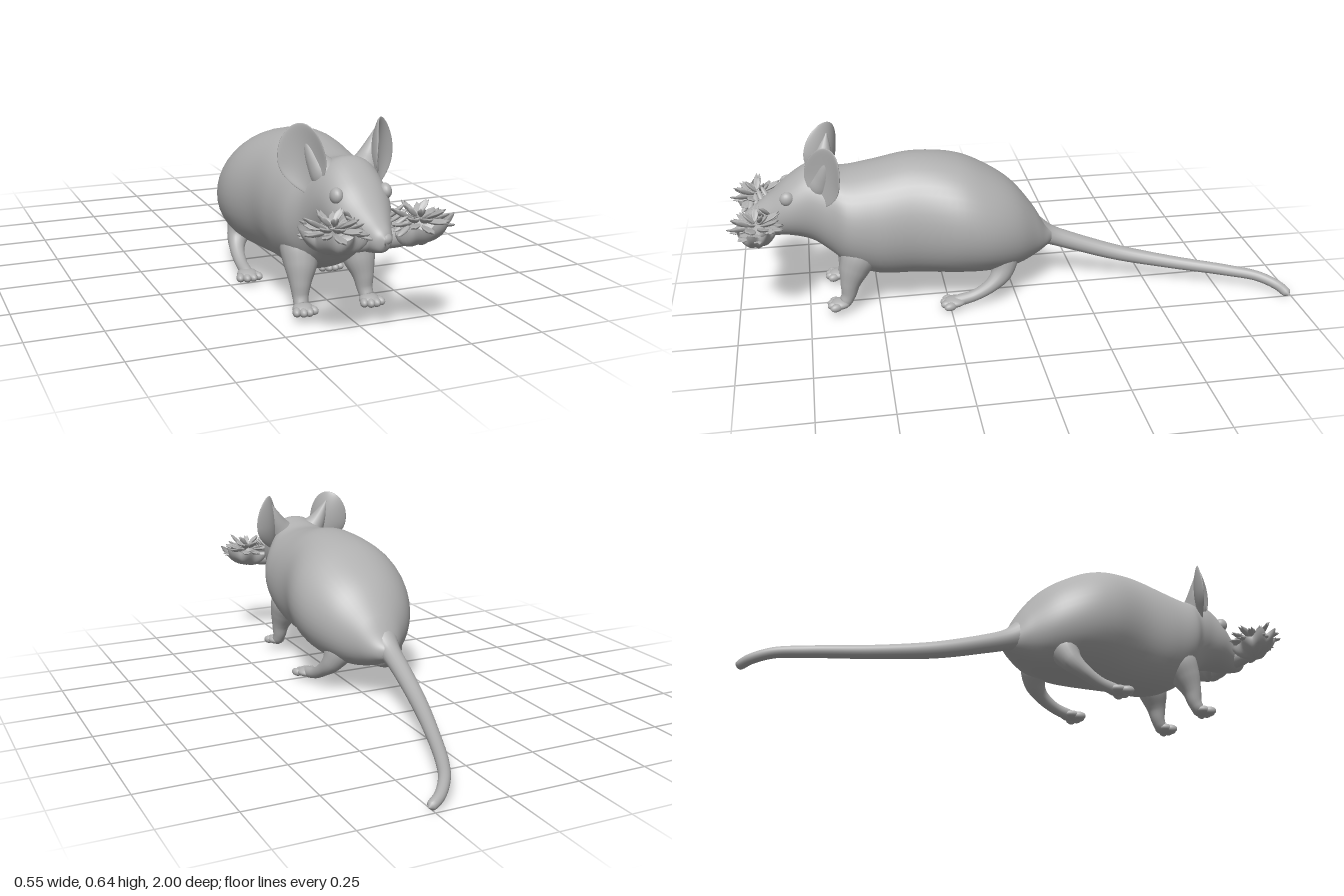
import * as THREE from 'three';
import { mergeVertices } from 'three/addons/utils/BufferGeometryUtils.js';
import { ParametricGeometry } from 'three/addons/geometries/ParametricGeometry.js';

const CX = -0.03; // centre line of the animal; the tail swings to its left
const V = (x, y, z) => new THREE.Vector3(x, y, z);

// weld seams so the normals are smooth all round
function smooth(geo) {
  geo.deleteAttribute('uv');
  geo.deleteAttribute('normal');
  const g = mergeVertices(geo, 1e-5);
  g.computeVertexNormals();
  return g;
}

// tapering tube through [x, y, z, radius] points
function taper(points, steps = 40, sides = 18) {
  const curve = new THREE.CatmullRomCurve3(points.map(p => V(p[0], p[1], p[2])));
  const radii = new THREE.CatmullRomCurve3(points.map((p, i) => V(p[3], i * 0.05, 0)));
  const geo = new THREE.TubeGeometry(curve, steps, 1, sides);
  const pos = geo.attributes.position, v = V(0, 0, 0);
  for (let i = 0; i < pos.count; i++) {
    const u = Math.floor(i / (sides + 1)) / steps;
    const c = curve.getPointAt(u);
    const r = Math.max(0.0005, radii.getPoint(curve.getUtoTmapping(u)).x);
    v.fromBufferAttribute(pos, i).sub(c).multiplyScalar(r).add(c);
    pos.setXYZ(i, v.x, v.y, v.z);
  }
  return smooth(geo);
}

// body and head sections from rump to nose: z, top, bottom, half width
const SECTIONS = [
  [-0.16, 0.21, 0.18, 0.003], [-0.13, 0.235, 0.162, 0.042], [-0.08, 0.32, 0.135, 0.095],
  [0, 0.42, 0.11, 0.168], [0.1, 0.49, 0.102, 0.214], [0.2, 0.535, 0.104, 0.224],
  [0.36, 0.556, 0.112, 0.192], [0.5, 0.533, 0.122, 0.187], [0.6, 0.52, 0.165, 0.174],
  [0.66, 0.535, 0.215, 0.136], [0.72, 0.543, 0.262, 0.116], [0.8, 0.495, 0.288, 0.1],
  [0.86, 0.443, 0.29, 0.075], [0.91, 0.405, 0.298, 0.05], [0.95, 0.376, 0.312, 0.028],
  [0.965, 0.355, 0.335, 0.003],
];

function bodyGeometry() {
  const spine = new THREE.CatmullRomCurve3(SECTIONS.map(s => V(s[1], s[2], s[0])));
  const width = new THREE.CatmullRomCurve3(SECTIONS.map(s => V(s[3], 0, s[0])));
  return smooth(new ParametricGeometry((u, v, out) => {
    const p = spine.getPoint(v), w = Math.max(0.001, width.getPoint(v).x);
    const a = u * Math.PI * 2, c = Math.cos(a);
    out.set(CX + w * Math.sign(c) * Math.abs(c) ** 0.92,
      (p.x + p.y) / 2 + (p.x - p.y) / 2 * Math.sin(a), p.z);
  }, 40, 90));
}

// dished oval with a rolled rim and a narrower root
function earGeometry() {
  const geo = new THREE.SphereGeometry(1, 32, 32);
  const pos = geo.attributes.position;
  for (let i = 0; i < pos.count; i++) {
    const x = pos.getX(i), y = pos.getY(i), z = pos.getZ(i);
    const w = y < 0 ? 1 - 0.5 * y * y : 1;
    pos.setXYZ(i, x * 0.08 * w, y * 0.112, z * 0.01 + 0.035 * (x * x + y * y * 0.35) - 0.018);
  }
  return smooth(geo);
}

// leafy cup under the whisker tuft: low beside the muzzle, rising outward
function cupGeometry(s) {
  return smooth(new ParametricGeometry((u, v, out) => {
    const a = u * Math.PI * 2, r = Math.sin(v * Math.PI / 2) * (1 + 0.13 * v * v * Math.sin(a * 8));
    const x = Math.cos(a) * r;
    out.set(s * x * 0.1, -0.066 * Math.cos(v * Math.PI / 2) + 0.014 * x + 0.008 * v * Math.sin(a * 7),
      Math.sin(a) * r * 0.064);
  }, 72, 14));
}

// broad, cupped petal with a notched tip, pointing along +x
function petalGeometry() {
  const geo = new THREE.SphereGeometry(1, 18, 12);
  const pos = geo.attributes.position;
  for (let i = 0; i < pos.count; i++) {
    const x = pos.getX(i), y = pos.getY(i), z = pos.getZ(i);
    const notch = 0.22 * Math.max(0, x) * Math.cos(z * 9);
    pos.setXYZ(i, x - notch, y + 0.9 * z * z + 0.5 * x * x, z * (0.8 + 0.3 * x));
  }
  return smooth(geo);
}

export function createModel() {
  const model = new THREE.Group();
  model.name = 'mouse';
  const fur = new THREE.MeshStandardMaterial({ color: 0xb0b0b0, side: THREE.DoubleSide });
  fur.name = 'grey';
  const add = (parent, name, geo) => {
    const m = new THREE.Mesh(geo, fur);
    m.name = name;
    parent.add(m);
    return m;
  };
  const ball = new THREE.SphereGeometry(1, 20, 14);
  const blob = (parent, name, p, s, geo = ball) => {
    const m = add(parent, name, geo);
    m.position.set(...p);
    m.scale.set(...s);
    return m;
  };

  add(model, 'body', bodyGeometry());
  blob(model, 'nose', [CX + 0.008, 0.35, 0.946], [0.022, 0.019, 0.02]);

  add(model, 'tail', taper([
    [-0.045, 0.225, -0.07, 0.06], [-0.048, 0.192, -0.14, 0.038], [-0.043, 0.162, -0.22, 0.033],
    [-0.015, 0.108, -0.4, 0.029], [0.042, 0.077, -0.6, 0.024], [0.115, 0.06, -0.8, 0.021],
    [0.165, 0.052, -0.9, 0.019], [0.215, 0.034, -0.96, 0.018], [0.25, 0.022, -0.98, 0.017],
    [0.26, 0.019, -0.984, 0.012], [0.265, 0.018, -0.986, 0.001],
  ], 90));

  const ear = earGeometry(), petal = petalGeometry();

  for (const s of [-1, 1]) {
    const side = s > 0 ? 'left' : 'right';
    const X = d => CX + s * d;

    // ear, facing outward and forward, with a fleshy root on the head
    const e = add(model, side + 'Ear', ear);
    e.position.set(X(0.128), 0.535, 0.667);
    e.rotation.set(0, s * 0.8, -s * 0.2);
    add(model, side + 'EarRoot', taper([
      [X(0.035), 0.45, 0.68, 0.03], [X(0.06), 0.485, 0.68, 0.05],
      [X(0.088), 0.53, 0.668, 0.034], [X(0.108), 0.575, 0.658, 0.018], [X(0.12), 0.61, 0.65, 0.003],
    ], 20));

    blob(model, side + 'Eye', [X(0.08), 0.45, 0.8], [0.02, 0.025, 0.025]);

    // foreleg and paw
    add(model, side + 'Foreleg', taper([
      [X(0.08), 0.3, 0.53, 0.03], [X(0.094), 0.235, 0.56, 0.064], [X(0.103), 0.17, 0.588, 0.053],
      [X(0.11), 0.12, 0.604, 0.036], [X(0.113), 0.075, 0.613, 0.026], [X(0.116), 0.047, 0.63, 0.021],
      [X(0.116), 0.042, 0.655, 0.003],
    ]));
    blob(model, side + 'ForePaw', [X(0.116), 0.046, 0.643], [0.034, 0.019, 0.036]);

    // hind leg, reaching forward under the belly
    add(model, side + 'Hindleg', taper([
      [X(0.085), 0.21, 0.05, 0.03], [X(0.1), 0.165, 0.05, 0.055], [X(0.123), 0.12, 0.06, 0.04],
      [X(0.14), 0.085, 0.095, 0.027], [X(0.148), 0.05, 0.16, 0.021], [X(0.151), 0.035, 0.23, 0.02],
      [X(0.152), 0.032, 0.265, 0.003],
    ]));
    blob(model, side + 'HindPaw', [X(0.152), 0.034, 0.236], [0.036, 0.018, 0.042]);

    // four rounded toes on each paw
    for (let i = 0; i < 4; i++) {
      const t = i - 1.5, back = Math.abs(t) * 0.009;
      const fore = blob(model, side + 'ForeToe', [X(0.117 + t * 0.018), 0.043, 0.672 - back], [0.014, 0.015, 0.022]);
      const hind = blob(model, side + 'HindToe', [X(0.154 + t * 0.02), 0.03, 0.268 - back], [0.015, 0.015, 0.024]);
      fore.rotation.y = hind.rotation.y = s * t * 0.25;
    }

    // ragged whisker tuft: a leafy cup with rings of petals
    const tuft = new THREE.Group();
    tuft.name = side + 'WhiskerTuft';
    tuft.position.set(X(0.139), 0.376, 0.909);
    model.add(tuft);
    add(tuft, 'cup', cupGeometry(s));
    const ring = (count, radius, length, width, lift, y) => {
      for (let i = 0; i < count; i++) {
        const a = i / count * Math.PI * 2 + lift, vary = Math.sin(i * 2.4 + radius * 90);
        const pivot = new THREE.Group();
        pivot.name = 'petalPivot';
        pivot.rotation.y = a;
        tuft.add(pivot);
        const reach = radius * (1 + 0.3 * Math.abs(Math.cos(a)));
        const p = blob(pivot, 'petal', [reach, y + 0.01 * vary, 0],
          [length * (1 + 0.14 * vary), 0.006, width * (1 - 0.2 * vary)], petal);
        p.rotation.set(0.35 * vary, 0, lift + 0.15 * vary);
      }
    };
    ring(11, 0.054, 0.034, 0.02, 0.05, 0);
    ring(9, 0.044, 0.034, 0.019, 0.4, 0.02);
    ring(5, 0.022, 0.024, 0.015, 0.7, 0.03);

    // stalk and rising spikes joining the tuft to the muzzle
    add(model, side + 'TuftStalk', taper([
      [X(0.01), 0.34, 0.9, 0.03], [X(0.05), 0.338, 0.9, 0.034],
      [X(0.1), 0.336, 0.903, 0.026], [X(0.14), 0.34, 0.905, 0.002],
    ], 16));
    for (let i = 0; i < 5; i++) {
      const spike = blob(model, side + 'MuzzleSpike',
        [X(0.066 + i * 0.003), 0.368 + i * 0.01, 0.95 - i * 0.018], [0.032, 0.007, 0.01]);
      spike.rotation.set(0, s * (0.5 - i * 0.3), s * (0.3 + i * 0.12));
    }
  }
  return model;
}
